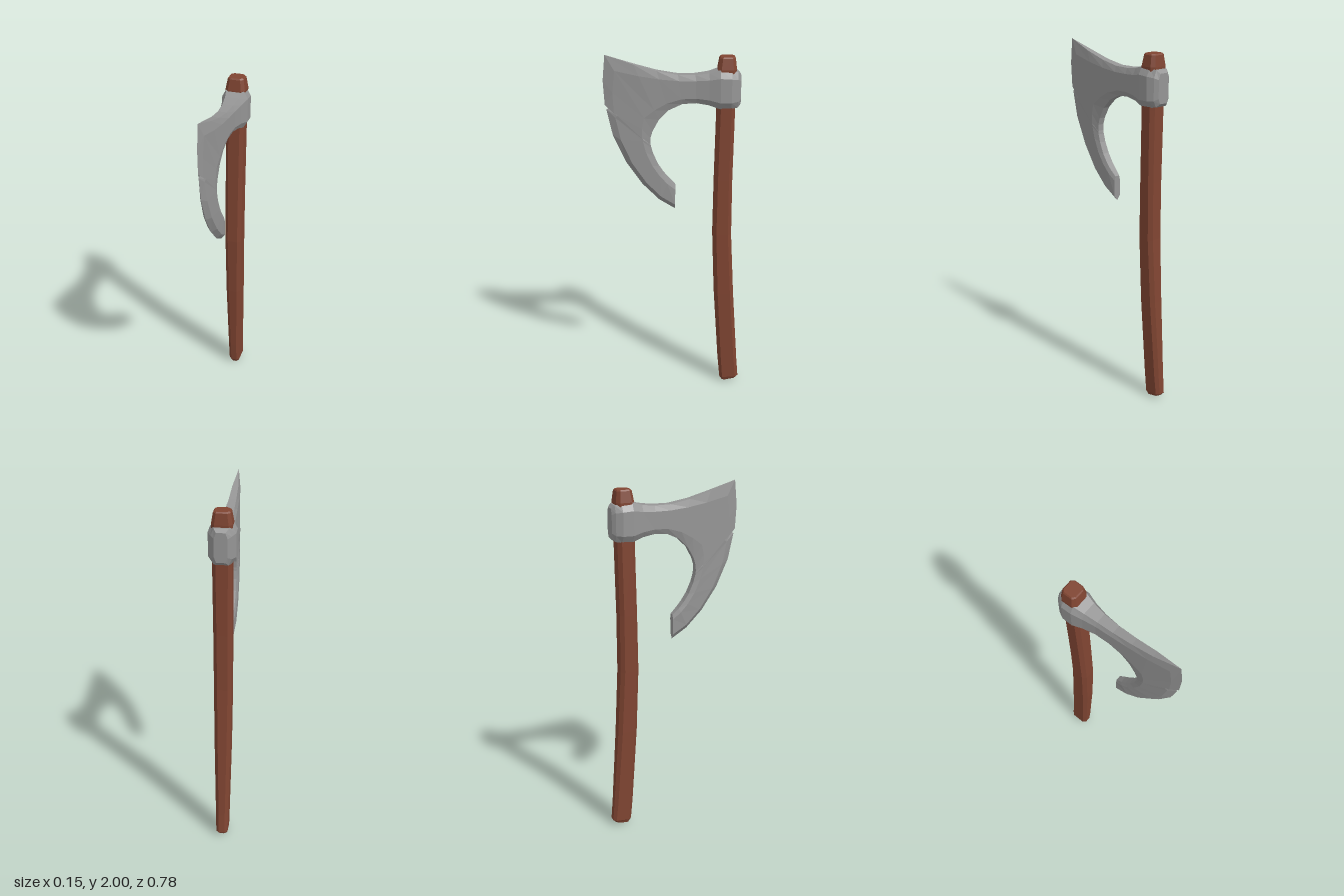
import * as THREE from 'three';

// Skin a list of rings (each counter-clockwise seen against the travel direction) and cap both ends
function loft(rings) {
  const pos = [];
  const tri = (...pts) => pts.forEach((p) => pos.push(p[0], p[1], p[2]));
  const n = rings[0].length;
  const centre = (r) => [0, 1, 2].map((k) => r.reduce((s, p) => s + p[k], 0) / n);
  const first = rings[0], last = rings[rings.length - 1];
  const c0 = centre(first), c1 = centre(last);
  for (let j = 0; j < n; j++) {
    const k = (j + 1) % n;
    for (let i = 0; i < rings.length - 1; i++) {
      const a = rings[i][j], b = rings[i][k], c = rings[i + 1][k], d = rings[i + 1][j];
      tri(a, b, c);
      tri(a, c, d);
    }
    tri(c0, first[k], first[j]);
    tri(c1, last[j], last[k]);
  }
  const g = new THREE.BufferGeometry();
  g.setAttribute('position', new THREE.Float32BufferAttribute(pos, 3));
  g.computeVertexNormals();
  return g;
}

// Chamfered rectangular handle section; tilt raises the back edge
function handleRing([y, hx, front, back, ch, tilt = 0]) {
  const pts = [
    [hx, front - ch], [hx, back + ch], [hx - ch, back], [ch - hx, back],
    [-hx, back + ch], [-hx, front - ch], [ch - hx, front], [hx - ch, front],
  ];
  return pts.map(([x, z]) => [x, y + tilt * (front - z) / (front - back), z]);
}

// Half thickness of the head as a function of z
const THICK = [[-0.365, 0.032], [-0.345, 0.055], [-0.31, 0.073], [-0.25, 0.073], [-0.2, 0.058],
  [-0.12, 0.043], [0, 0.034], [0.1, 0.03], [0.2, 0.026], [0.31, 0.018], [0.388, 0.001]];
function thickness(z) {
  for (let i = 1; i < THICK.length; i++) {
    const [z0, t0] = THICK[i - 1], [z1, t1] = THICK[i];
    if (z <= z1) return t0 + (t1 - t0) * Math.max(0, (z - z0) / (z1 - z0));
  }
  return 0.001;
}

// Head section between an outer point and an inner point in the z-y plane
function headRing([uz, uy, lz, ly, outer = 0.68, scale = 1]) {
  const at = (f, k) => {
    const z = uz + (lz - uz) * f;
    return [thickness(z) * k * scale, uy + (ly - uy) * f, z];
  };
  const right = [at(0, outer), at(0.2, 1), at(0.82, 1), at(1, 0.68)];
  const left = right.map(([x, y, z]) => [-x, y, z]);
  return [...left, ...right.reverse()];
}

export function createModel() {
  const group = new THREE.Group();
  group.name = 'beardedAxe';
  const wood = new THREE.MeshStandardMaterial({ color: 0x804532, flatShading: true });
  wood.name = 'reddish brown wood';
  const steel = new THREE.MeshStandardMaterial({ color: 0x959595, flatShading: true });
  steel.name = 'grey steel';

  // Handle: y, half width, front z, back z, chamfer, tilt
  const handle = new THREE.Mesh(loft([
    [0, 0.024, -0.292, -0.375, 0.012, 0.016],
    [0.025, 0.033, -0.277, -0.388, 0.016, 0.006],
    [0.15, 0.036, -0.265, -0.378, 0.018],
    [0.6, 0.045, -0.235, -0.347, 0.02],
    [0.97, 0.049, -0.221, -0.327, 0.02],
    [1.3, 0.05, -0.225, -0.326, 0.02],
    [1.7, 0.052, -0.233, -0.332, 0.02],
    [1.925, 0.055, -0.235, -0.337, 0.018],
    [1.985, 0.045, -0.245, -0.33, 0.016],
    [1.992, 0.039, -0.251, -0.324, 0.014],
  ].map(handleRing)), wood);
  handle.name = 'handle';

  // Head: outer z, y, inner z, y, outer edge thickness factor, overall scale
  const head = new THREE.Mesh(loft([
    // eye around the handle
    [-0.362, 1.895, -0.362, 1.735],
    [-0.345, 1.912, -0.345, 1.717],
    [-0.31, 1.92, -0.31, 1.712],
    [-0.25, 1.925, -0.25, 1.71],
    // neck
    [-0.19, 1.905, -0.19, 1.73],
    [-0.115, 1.895, -0.12, 1.74],
    [-0.02, 1.895, -0.045, 1.735],
    [0.095, 1.915, 0.03, 1.7],
    [0.22, 1.95, 0.085, 1.645],
    // cutting edge with a small nick
    [0.375, 2.0, 0.12, 1.58, 0],
    [0.388, 1.86, 0.132, 1.54, 0],
    [0.38, 1.725, 0.133, 1.505, 0],
    [0.355, 1.71, 0.131, 1.495, 0],
    [0.372, 1.7, 0.13, 1.485, 0],
    [0.34, 1.555, 0.117, 1.44, 0],
    [0.27, 1.4, 0.09, 1.38, 0],
    // beard
    [0.18, 1.27, 0.06, 1.335, 0, 0.95],
    [0.085, 1.175, 0.03, 1.3, 0, 0.85],
    [-0.005, 1.12, -0.006, 1.265, 0, 0.6],
  ].map(headRing)), steel);
  head.name = 'axeHead';

  group.add(handle, head);
  return group;
}
